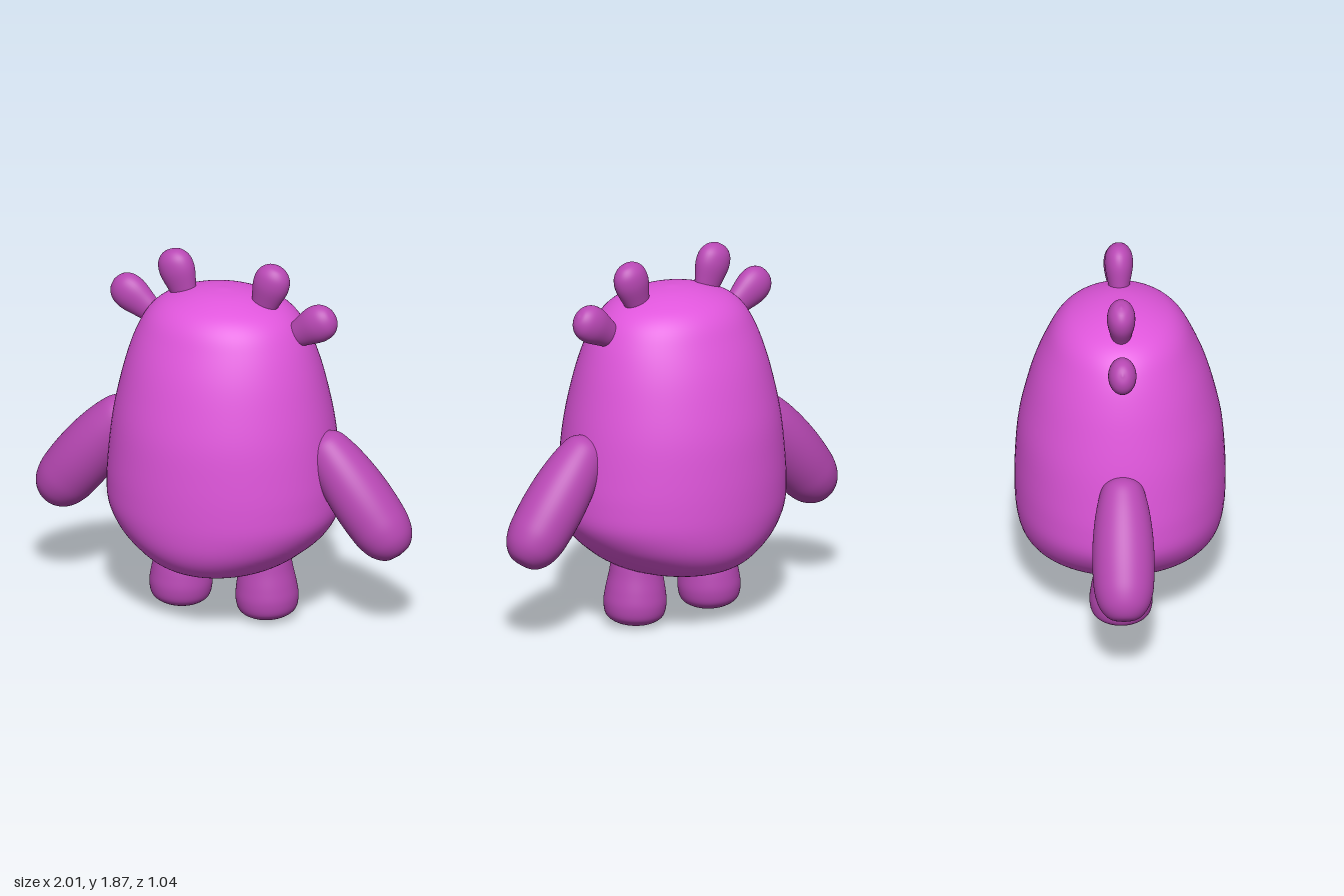
import * as THREE from 'three';
import { mergeVertices } from 'three/addons/utils/BufferGeometryUtils.js';

const bodyMaterial = new THREE.MeshStandardMaterial({ color: 0xe056dc });
const limbMaterial = new THREE.MeshStandardMaterial({ color: 0xb848b4 });

// Smooth solid from [y, half width, half depth] rings listed bottom to top.
function ovalSolid(rings, steps = 48, sides = 56) {
  const curve = new THREE.CatmullRomCurve3(
    rings.map(([y, rx, rz = rx]) => new THREE.Vector3(rx, y, rz)), false, 'centripetal');
  const samples = curve.getPoints(steps);
  const profile = samples.map((p) => new THREE.Vector2(Math.max(0, p.x), p.y));
  const geometry = new THREE.LatheGeometry(profile, sides);
  const pos = geometry.attributes.position;
  for (let i = 0; i < pos.count; i++) {
    const s = samples[i % samples.length];
    if (s.x > 1e-6) pos.setZ(i, pos.getZ(i) * s.z / s.x);
  }
  geometry.deleteAttribute('normal');
  geometry.deleteAttribute('uv');
  const smooth = mergeVertices(geometry, 1e-5);
  smooth.computeVertexNormals();
  return smooth;
}

// Place a solid so its own y axis runs from base to tip in the xy plane.
function limb(name, geometry, base, tip, side) {
  const mesh = new THREE.Mesh(geometry, limbMaterial);
  const dx = (tip[0] - base[0]) * side;
  mesh.name = name;
  mesh.position.set(base[0] * side, base[1], 0);
  mesh.rotation.z = -Math.atan2(dx, tip[1] - base[1]);
  return mesh;
}

export function createModel() {
  const model = new THREE.Group();
  model.name = 'plumpCreature';

  // Pear-shaped body, a little wider than deep
  const body = new THREE.Mesh(ovalSolid([
    [0.262, 0, 0], [0.268, 0.13, 0.16], [0.285, 0.25, 0.30], [0.325, 0.35, 0.40],
    [0.385, 0.435, 0.46], [0.465, 0.52, 0.498], [0.57, 0.58, 0.516], [0.70, 0.59, 0.521],
    [0.85, 0.58, 0.517], [1.03, 0.558, 0.502], [1.2, 0.524, 0.467], [1.35, 0.485, 0.424],
    [1.48, 0.437, 0.371], [1.57, 0.385, 0.325], [1.625, 0.325, 0.275], [1.665, 0.24, 0.205],
    [1.695, 0.13, 0.11], [1.708, 0, 0],
  ], 90, 80), bodyMaterial);
  body.name = 'body';
  model.add(body);

  // Arms: slim at the shoulder, full at the hand
  const arm = ovalSolid([
    [0, 0], [0.012, 0.05], [0.05, 0.095], [0.13, 0.122], [0.25, 0.143], [0.38, 0.153],
    [0.50, 0.152], [0.59, 0.143], [0.66, 0.118], [0.71, 0.07], [0.725, 0],
  ]);
  // Legs: stubby, flared towards a softly flat sole
  const leg = ovalSolid([
    [0, 0], [0.004, 0.05], [0.016, 0.1], [0.05, 0.143], [0.11, 0.156], [0.18, 0.149],
    [0.26, 0.134], [0.34, 0.122], [0.42, 0.1], [0.45, 0],
  ]);
  // Horns: flattened bulbs on narrow roots
  const horn = ovalSolid([
    [0, 0, 0], [0.008, 0.03, 0.022], [0.04, 0.055, 0.042], [0.11, 0.077, 0.058],
    [0.19, 0.093, 0.07], [0.245, 0.083, 0.063], [0.282, 0.05, 0.038], [0.297, 0, 0],
  ], 36, 40);

  for (const [side, label] of [[1, 'left'], [-1, 'right']]) {
    model.add(
      limb(label + 'Arm', arm, [0.505, 1.015], [0.95, 0.442], side),
      limb(label + 'Leg', leg, [0.237, 0.003], [0.22, 0.45], side),
      limb(label + 'InnerHorn', horn, [0.195, 1.588], [0.288, 1.868], side),
      limb(label + 'OuterHorn', horn, [0.348, 1.492], [0.594, 1.66], side),
    );
  }
  return model;
}
